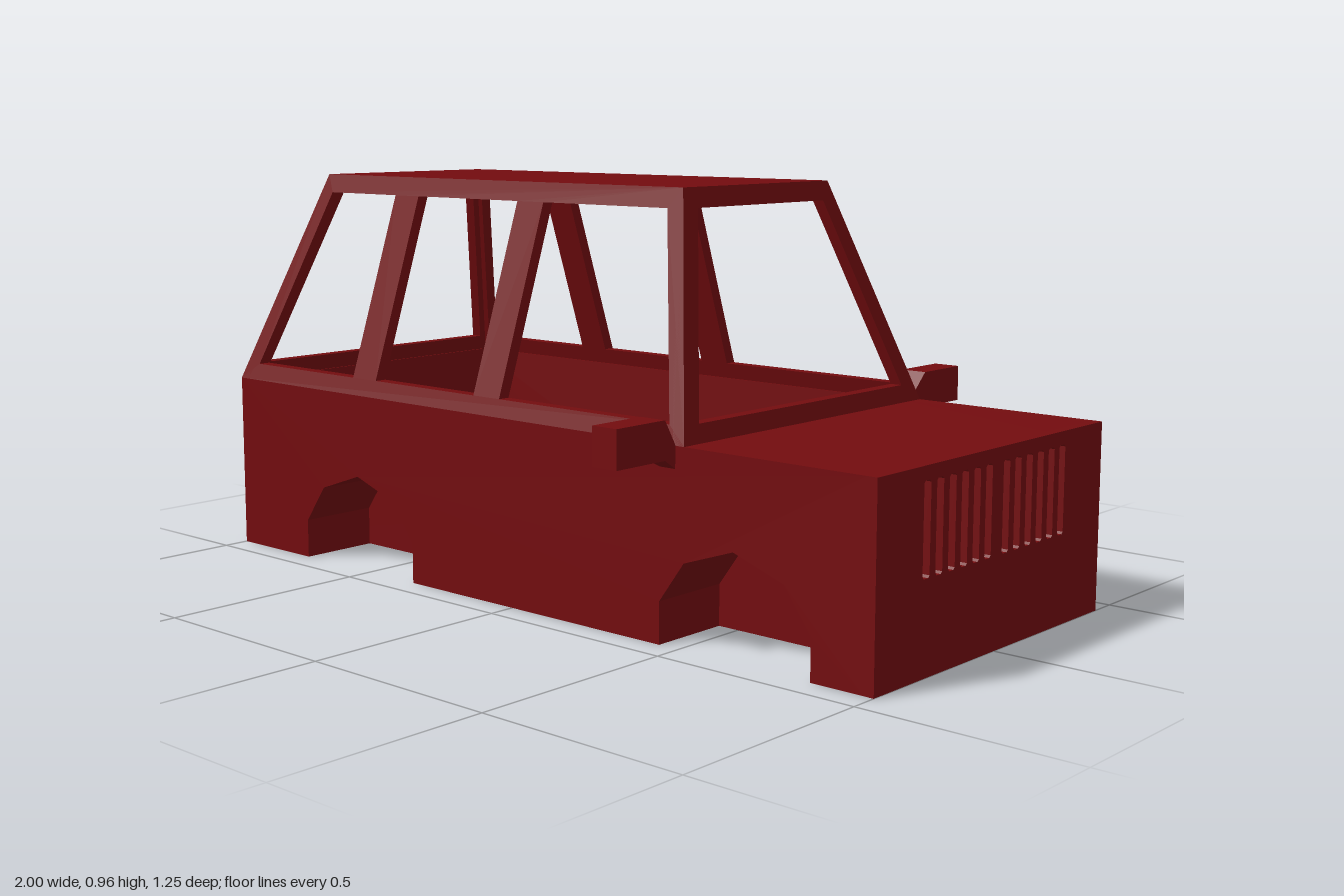
import * as THREE from 'three';

const paint = new THREE.MeshStandardMaterial({ color: 0x730c0f });
paint.name = 'dark red paint';

const BELT = 0.435, ROOF = 0.96, WALL = 0.03, FLOOR = 0.27;
const SILL = 0.475, HEAD = 0.915;

function makeShape(points, holes = []) {
  const vectors = (list) => list.map(([x, y]) => new THREE.Vector2(x, y));
  const shape = new THREE.Shape(vectors(points));
  shape.holes = holes.map((hole) => new THREE.Path(vectors(hole)));
  return shape;
}

function extrude(points, depth, holes) {
  return new THREE.ExtrudeGeometry(makeShape(points, holes), { depth, bevelEnabled: false });
}

// Move every vertex by a rule, then refresh the flat normals
function reshape(geometry, rule) {
  const p = geometry.attributes.position;
  const v = new THREE.Vector3();
  for (let i = 0; i < p.count; i++) {
    rule(v.fromBufferAttribute(p, i));
    p.setXYZ(i, v.x, v.y, v.z);
  }
  geometry.computeVertexNormals();
  return geometry;
}

// Lower body side profile, optionally with wheel arches and a cabin recess
function bodyProfile(arches, recess) {
  const points = [[-1, 0]];
  if (arches) {
    for (const cx of [-0.54, 0.647]) {
      for (const [x, y] of [[-0.2, 0], [-0.2, 0.095], [-0.132, 0.188], [0, 0.233],
        [0.132, 0.188], [0.2, 0.095], [0.2, 0]]) points.push([cx + x, y]);
    }
  }
  points.push([0.975, 0], [0.975, BELT]);
  if (recess) points.push([0.48, BELT], [0.48, FLOOR], [-0.965, FLOOR], [-0.965, BELT]);
  points.push([-1, BELT]);
  return points;
}

export function createModel() {
  const group = new THREE.Group();
  const add = (name, geometry) => {
    const mesh = new THREE.Mesh(geometry, paint);
    mesh.name = name;
    group.add(mesh);
    return mesh;
  };

  // Lower body: floor between the wheel wells, then wells and outer skin
  add('floorAndHood', extrude(bodyProfile(false, true), 0.47)).position.z = -0.235;
  for (const s of [1, -1]) {
    const side = s > 0 ? 'left' : 'right';
    add(side + 'WheelWells', extrude(bodyProfile(true, true), 0.165)).position.z = s > 0 ? 0.235 : -0.4;
    add(side + 'BodySide', extrude(bodyProfile(true, false), 0.035)).position.z = s > 0 ? 0.4 : -0.435;
  }

  // Nose panel with twelve recessed grille slots
  const slots = [];
  for (const s of [1, -1]) {
    for (let i = 0; i < 6; i++) {
      const c = s * (0.034 + 0.0456 * i), w = 0.0125, k = 0.005;
      slots.push([[c - w, 0.205 + k], [c - w + k, 0.205], [c + w - k, 0.205], [c + w, 0.205 + k],
        [c + w, 0.405 - k], [c + w - k, 0.405], [c - w + k, 0.405], [c - w, 0.405 - k]]);
    }
  }
  const nose = extrude([[-0.435, 0], [0.435, 0], [0.435, BELT], [-0.435, BELT]], 0.025, slots);
  add('grillePanel', nose.rotateY(Math.PI / 2).translate(0.975, 0, 0));

  // Sloping side frames with three windows each
  const sideOutline = [[-1, BELT], [0.515, BELT], [0.36, ROOF], [-0.84, ROOF]];
  const sideWindows = [
    [[-0.94, SILL], [-0.565, SILL], [-0.565, HEAD], [-0.81, HEAD]],
    [[-0.48, SILL], [-0.135, SILL], [-0.135, HEAD], [-0.48, HEAD]],
    [[-0.05, SILL], [0.463, SILL], [0.328, HEAD], [-0.05, HEAD]],
  ];
  for (const s of [1, -1]) {
    const frame = extrude(sideOutline, WALL, sideWindows);
    add(s > 0 ? 'leftWindowFrame' : 'rightWindowFrame', reshape(frame, (v) => {
      v.z += s * (0.435 - (v.y - BELT) / 3) - (s > 0 ? WALL : 0);
    }));
  }

  // Windscreen and rear window frames
  const endOutline = [[-0.435, BELT], [0.435, BELT], [0.26, ROOF], [-0.26, ROOF]];
  const endWindow = [[-0.373, SILL], [0.373, SILL], [0.226, HEAD], [-0.226, HEAD]];
  for (const [name, base, top, inset] of [
    ['windscreenFrame', 0.515, 0.36, WALL], ['rearWindowFrame', -1, -0.84, 0]]) {
    const frame = extrude(endOutline, WALL, [endWindow]).rotateY(Math.PI / 2);
    add(name, reshape(frame, (v) => {
      v.x += base + (top - base) * (v.y - BELT) / (ROOF - BELT) - inset;
    }));
  }

  // Roof slab
  add('roof', new THREE.BoxGeometry(1.2, 0.035, 0.52)).position.set(-0.24, ROOF - 0.0175, 0);

  // Door mirrors on tapered arms
  for (const s of [1, -1]) {
    const side = s > 0 ? 'left' : 'right';
    add(side + 'Mirror', new THREE.BoxGeometry(0.067, 0.085, 0.147)).position.set(0.467, 0.4525, s * 0.5515);
    const arm = extrude([[0.478, 0.495], [0.43, 0.43], [0.43, 0.383], [0.478, 0.41]]
      .map(([z, y]) => [s * z, y]), 0.067).rotateY(-Math.PI / 2).translate(0.5005, 0, 0);
    add(side + 'MirrorArm', reshape(arm, (v) => {
      if (Math.abs(v.z) < 0.45) v.x = 0.47 + (v.x - 0.467) * 0.6;
    }));
  }

  return group;
}
